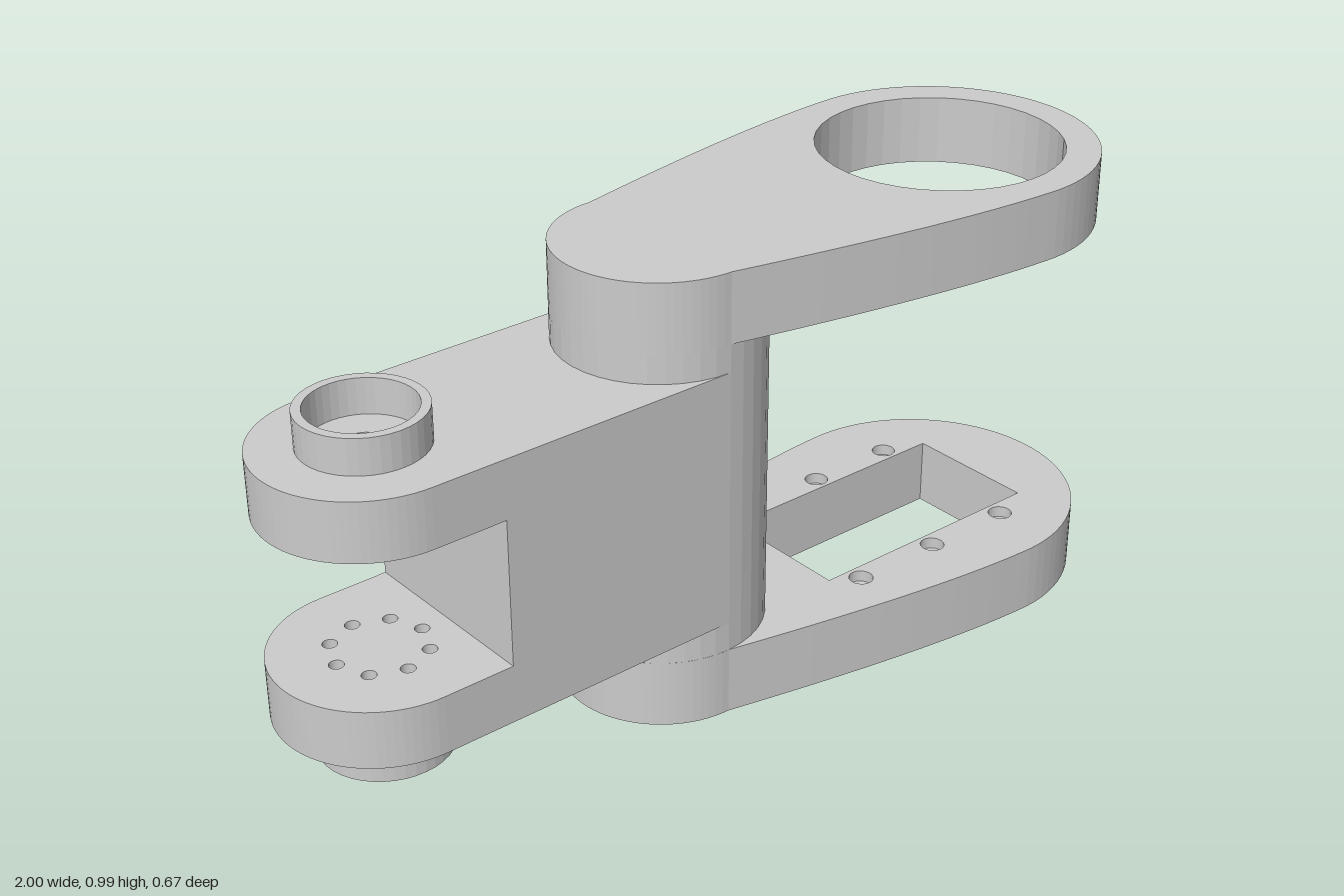
import * as THREE from 'three';

const material = new THREE.MeshStandardMaterial({ color: 0xcccccc });
const R = 0.216;         // radius of post and of the narrow ends
const POST_X = -0.1;     // axis of the post
const PIN_X = -0.784;    // axis of the pivot bosses
const EYE_X = 0.66;      // axis of the wide ends
const EYE_R = 0.337;

const circle = (x, z, r) => new THREE.Path().absarc(x, z, r, 0, Math.PI * 2, true);
const disc = (x, r) => new THREE.Shape().absarc(x, 0, r, 0, Math.PI * 2, false);

// Plate drawn in plan and extruded upward from y0 to y1
function plate(parent, name, shape, y0, y1, holes = []) {
  shape.holes.push(...holes);
  const geometry = new THREE.ExtrudeGeometry(shape, { depth: y1 - y0, bevelEnabled: false, curveSegments: 20 });
  geometry.rotateX(-Math.PI / 2);
  geometry.translate(0, y0, 0);
  const mesh = new THREE.Mesh(geometry, material);
  mesh.name = name;
  parent.add(mesh);
}

// Teardrop plan of the large arms
function teardrop() {
  const s = new THREE.Shape();
  s.absarc(EYE_X, 0, EYE_R, -Math.PI / 2, Math.PI / 2, false);
  s.quadraticCurveTo(0.4, 0.33, POST_X, R);
  s.absarc(POST_X, 0, R, Math.PI / 2, Math.PI * 1.5, false);
  s.quadraticCurveTo(0.4, -0.33, EYE_X, -EYE_R);
  return s;
}

// Plan of the small fork arms: round outer end, straight sides
function tongue() {
  const s = new THREE.Shape();
  s.moveTo(POST_X, -R);
  s.lineTo(POST_X, R);
  s.lineTo(PIN_X, R);
  s.absarc(PIN_X, 0, R, Math.PI / 2, Math.PI * 1.5, false);
  return s;
}

// Rectangular window with a row of screw holes along each long side
function windowHoles(screwRadius) {
  const rect = new THREE.Path();
  rect.moveTo(0.235, -0.152);
  rect.lineTo(0.235, 0.152);
  rect.lineTo(0.815, 0.152);
  rect.lineTo(0.815, -0.152);
  rect.closePath();
  const holes = [rect];
  for (const x of [0.295, 0.508, 0.72])
    for (const z of [-0.187, 0.187]) holes.push(circle(x, z, screwRadius));
  return holes;
}

// Ring of eight bolt holes around the pivot axis
function boltRing() {
  return Array.from({ length: 8 }, (_, i) => {
    const a = (i * Math.PI) / 4;
    return circle(PIN_X + 0.096 * Math.cos(a), 0.096 * Math.sin(a), 0.015);
  });
}

export function createModel() {
  const model = new THREE.Group();
  model.name = 'forkedJointBracket';

  // Large fork: eye arm above, window arm (counterbored) below
  const largeFork = new THREE.Group();
  largeFork.name = 'largeFork';
  plate(largeFork, 'upperEyeArm', teardrop(), 0.84, 0.99, [circle(EYE_X, 0, 0.264)]);
  plate(largeFork, 'lowerWindowArm', teardrop(), 0, 0.125, windowHoles(0.014));
  plate(largeFork, 'lowerWindowArmCounterbores', teardrop(), 0.125, 0.15, windowHoles(0.026));
  plate(largeFork, 'post', disc(POST_X, R), 0.15, 0.84);

  // Small fork: web block and two tongues
  const smallFork = new THREE.Group();
  smallFork.name = 'smallFork';
  const web = new THREE.Mesh(new THREE.BoxGeometry(0.53, 0.315, R * 2), material);
  web.name = 'web';
  web.position.set(-0.365, 0.4975, 0);
  smallFork.add(web);
  plate(smallFork, 'upperTongue', tongue(), 0.655, 0.78, [circle(PIN_X, 0, 0.036)]);
  plate(smallFork, 'lowerTongue', tongue(), 0.215, 0.34, boltRing());

  // Pivot bosses: open collar above, bolted flange below
  plate(smallFork, 'upperCollar', disc(PIN_X, 0.126), 0.78, 0.855, [circle(PIN_X, 0, 0.107)]);
  plate(smallFork, 'lowerFlange', disc(PIN_X, 0.136), 0.125, 0.215, [circle(PIN_X, 0, 0.05), ...boltRing()]);

  model.add(largeFork, smallFork);
  return model;
}
